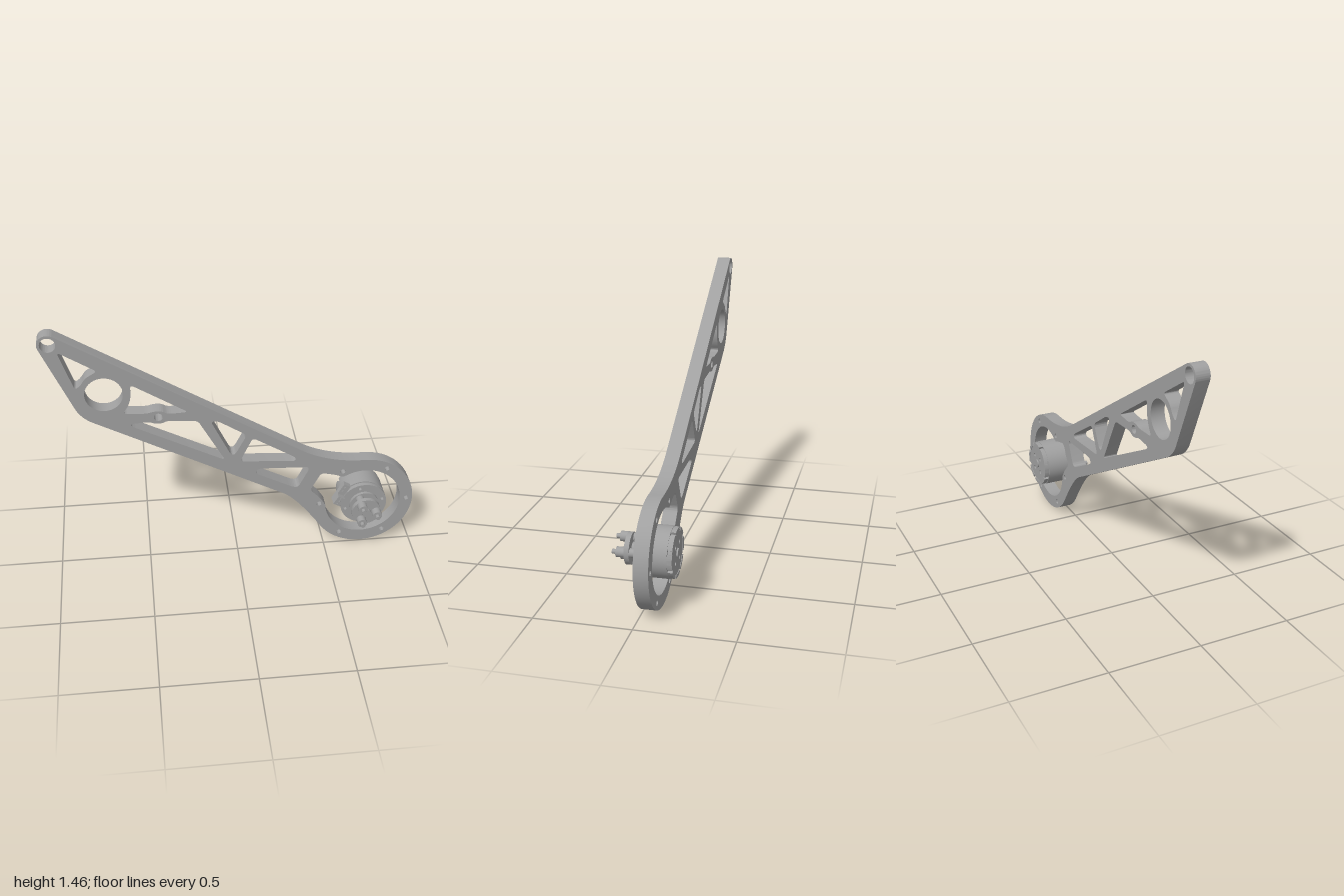
import * as THREE from 'three';
import { toCreasedNormals } from 'three/addons/utils/BufferGeometryUtils.js';

const metal = new THREE.MeshStandardMaterial({ color: 0xa0a0a0 });
metal.name = 'grey metal';

const CX = 0.714, CY = 0.286; // motor ring centre
const rad = THREE.MathUtils.degToRad;
const polar = (r, deg, x = 0, y = 0) => [x + r * Math.cos(rad(deg)), y + r * Math.sin(rad(deg))];

// Closed path through [x, y, cut] points; each corner is rounded by its cut length
function roundedPath(points, cut) {
  const path = new THREE.Path();
  const n = points.length;
  points.forEach((p, i) => {
    const v = new THREE.Vector2(p[0], p[1]);
    const toward = (q) => {
      const d = new THREE.Vector2(q[0], q[1]).sub(v);
      return d.setLength(Math.min(p[2] ?? cut, d.length() * 0.48)).add(v);
    };
    const a = toward(points[(i + n - 1) % n]), b = toward(points[(i + 1) % n]);
    if (i === 0) path.moveTo(a.x, a.y); else path.lineTo(a.x, a.y);
    if ((p[2] ?? cut) > 0) path.quadraticCurveTo(v.x, v.y, b.x, b.y);
  });
  path.closePath();
  return path;
}

function circle(x, y, r, Type = THREE.Path) {
  const c = new Type();
  c.absarc(x, y, r, 0, Math.PI * 2, false);
  return c;
}

function extrude(name, shape, z0, z1, segments = 20) {
  const geo = new THREE.ExtrudeGeometry(shape, { depth: z1 - z0, bevelEnabled: false, curveSegments: segments });
  geo.translate(0, 0, z0);
  const mesh = new THREE.Mesh(toCreasedNormals(geo, 0.5), metal);
  mesh.name = name;
  return mesh;
}

// Cylinder along z
function disc(name, x, y, r0, r1, z0, z1, sides = 48) {
  const geo = new THREE.CylinderGeometry(r1, r0, z1 - z0, sides);
  geo.rotateX(Math.PI / 2);
  const mesh = new THREE.Mesh(geo, metal);
  mesh.position.set(x, y, (z0 + z1) / 2);
  mesh.name = name;
  return mesh;
}

function box(name, w, h, z0, z1, x = 0, y = 0) {
  const mesh = new THREE.Mesh(new THREE.BoxGeometry(w, h, z1 - z0), metal);
  mesh.position.set(x, y, (z0 + z1) / 2);
  mesh.name = name;
  return mesh;
}

function createArm() {
  // Outline: motor ring, straight top edge, pivot eye, angled end, bottom edge
  const s = new THREE.Shape();
  s.absarc(CX, CY, 0.286, rad(214), rad(452), false);
  s.quadraticCurveTo(0.51, 0.572, 0.36, 0.659);
  s.absarc(-0.946, 1.402, 0.054, rad(58), rad(203.4), false);
  s.lineTo(-0.842, 1.019);
  s.quadraticCurveTo(-0.815, 0.96, -0.757, 0.928);
  s.lineTo(0.26, 0.377);
  s.quadraticCurveTo(0.337, 0.334, ...polar(0.286, 214, CX, CY));

  // Round holes
  s.holes.push(circle(-0.946, 1.402, 0.04), circle(-0.69, 1.096, 0.099), circle(-0.417, 0.938, 0.023));
  for (let i = 0; i < 6; i++) s.holes.push(circle(...polar(0.25, i * 60, CX, CY), 0.014));

  // Weight-saving pockets of the truss
  const pockets = [
    [[-0.906, 1.361], [-0.714, 1.238], [-0.741, 1.222], [-0.778, 1.2], [-0.8, 1.163], [-0.832, 1.136]],
    [[-0.553, 1.147], [-0.259, 0.96], [-0.366, 0.955], [-0.398, 0.975], [-0.441, 0.975], [-0.473, 0.965],
      [-0.602, 0.971], [-0.568, 1.02], [-0.553, 1.072]],
    [[-0.564, 0.906], [-0.463, 0.912], [-0.436, 0.898], [-0.398, 0.898], [-0.372, 0.912], [-0.211, 0.901],
      [-0.067, 0.634], [-0.559, 0.89]],
    [[-0.142, 0.89], [-0.104, 0.89], [0.051, 0.789], [-0.013, 0.666], [-0.035, 0.666]],
    [[0.083, 0.767], [0.324, 0.618], [0.318, 0.596], [0.013, 0.618]],
    [[0.115, 0.561], [0.404, 0.548], [0.34, 0.414], [0.307, 0.42], [0.094, 0.532]],
  ];
  for (const p of pockets) s.holes.push(roundedPath(p, 0.025));

  // Motor opening: circle joined to a cable pocket on the arm side
  const opening = [];
  for (let a = 183; a <= 475; a += 4) opening.push([...polar(0.214, a, CX, CY), 0]);
  opening.push([0.591, 0.464], [0.559, 0.479], [0.468, 0.502], [0.409, 0.388], [0.468, 0.326]);
  s.holes.push(roundedPath(opening, 0.025));
  return extrude('arm', s, -0.08, -0.005);
}

function createMotor() {
  const motor = new THREE.Group();
  motor.name = 'motor';
  motor.position.set(CX, CY, 0);

  // Mounting base with screw holes, and bell
  const base = circle(0, 0, 0.13, THREE.Shape);
  for (let i = 0; i < 4; i++) base.holes.push(circle(...polar(0.108, 14 + i * 90), 0.01));
  motor.add(extrude('mountingBase', base, 0, 0.02, 32));
  motor.add(disc('statorGap', 0, 0, 0.124, 0.124, -0.012, 0.001));
  motor.add(disc('bell', 0, 0, 0.13, 0.13, -0.128, -0.012, 64));

  // Bell cap with holes, notched rim and shaft end
  const cap = circle(0, 0, 0.114, THREE.Shape);
  for (let i = 0; i < 4; i++) cap.holes.push(circle(...polar(0.058, 45 + i * 90), 0.011));
  motor.add(extrude('bellCap', cap, -0.15, -0.127, 32));
  for (let i = 0; i < 8; i++) {
    const a = i * 45, rim = new THREE.Shape();
    rim.absarc(0, 0, 0.127, rad(a - 18), rad(a + 18), false);
    rim.absarc(0, 0, 0.108, rad(a + 18), rad(a - 18), true);
    motor.add(extrude('rimSegment', rim, -0.153, -0.126, 8));
  }
  motor.add(disc('shaftEnd', 0, 0, 0.024, 0.024, -0.158, -0.145, 24));

  // Propeller adapter: flange, hub, plate and shaft
  motor.add(disc('adapterFlange', 0, 0, 0.083, 0.083, 0.018, 0.036));
  motor.add(disc('adapterHub', 0, 0, 0.034, 0.034, 0.034, 0.075, 12));
  motor.add(disc('adapterPlate', 0, 0, 0.081, 0.081, 0.073, 0.098));
  motor.add(disc('shaft', 0, 0, 0.024, 0.024, 0.096, 0.115, 24));

  // Three standoffs with screws
  for (let i = 0; i < 3; i++) {
    const [x, y] = polar(0.055, i * 120);
    motor.add(disc('standoff', x, y, 0.023, 0.023, 0.034, 0.075, 24));
    motor.add(disc('screwHead', x, y, 0.026, 0.026, 0.096, 0.14, 24));
    motor.add(disc('screwTip', x, y, 0.012, 0.012, 0.138, 0.162, 16));
  }
  return motor;
}

function createConnector() {
  // Cable connector set at an angle beside the motor
  const g = new THREE.Group();
  g.name = 'cableConnector';
  g.position.set(0.583, 0.366, 0);
  g.rotation.z = rad(60);
  g.add(box('connectorBody', 0.125, 0.042, -0.01, 0.02));
  g.add(box('connectorPlug', 0.055, 0.044, 0.012, 0.052, -0.034));
  for (const x of [-0.052, -0.034, -0.016]) g.add(disc('connectorPin', x, 0, 0.006, 0.006, 0.05, 0.057, 12));
  for (const x of [0.015, 0.04]) g.add(disc('connectorStud', x, 0, 0.008, 0.008, 0.018, 0.024, 12));
  g.add(box('cableLead', 0.04, 0.035, -0.008, 0.014, 0, -0.035));
  return g;
}

export function createModel() {
  const model = new THREE.Group();
  model.name = 'motorArm';
  model.add(createArm(), createMotor(), createConnector());
  return model;
}
